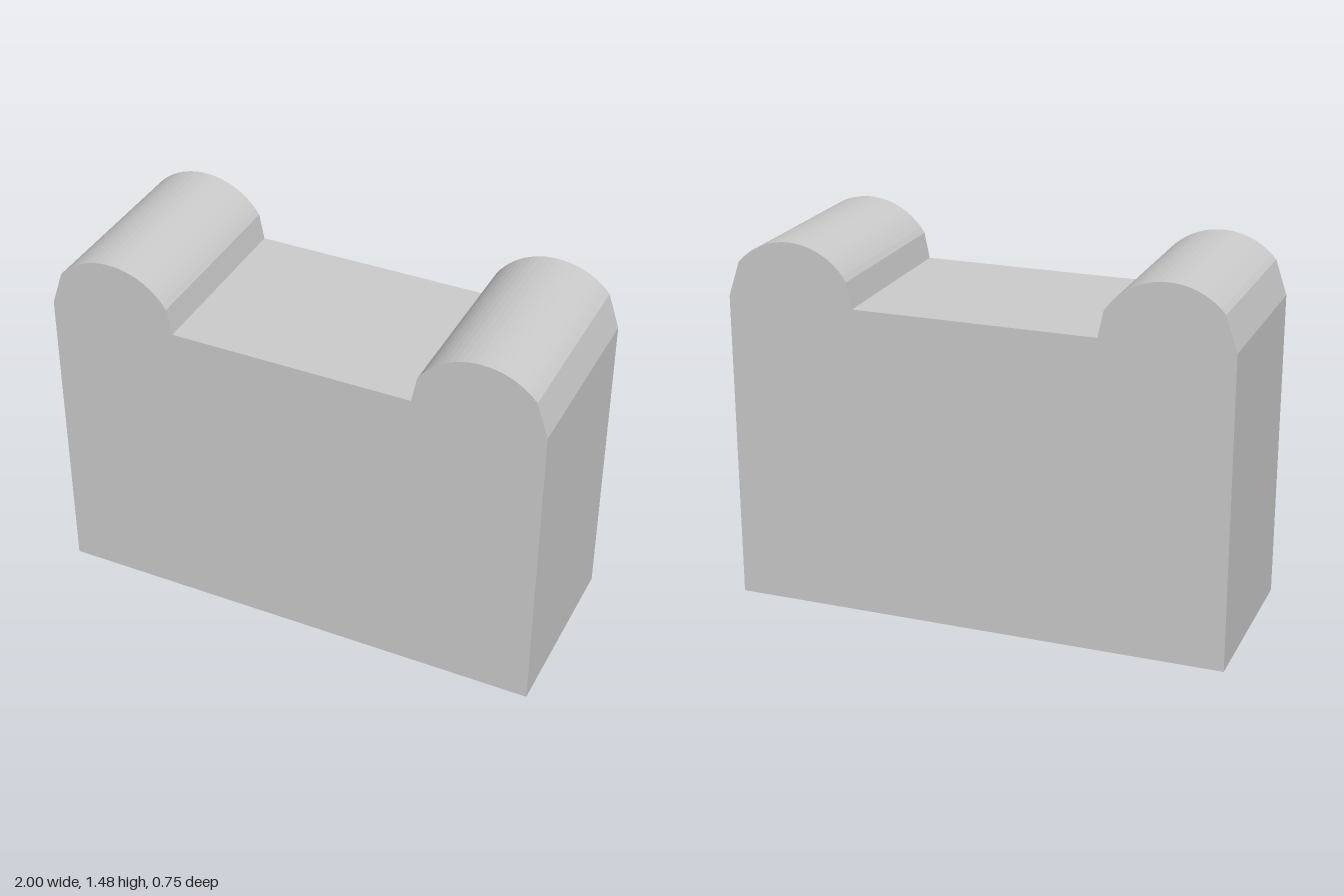
import * as THREE from 'three';

const DEPTH = 0.755;
const SEAT_Y = 1.25;       // height of the flat between the rolls
const ROLL = { x: 0.742, y: 1.205, r: 0.28 };

// Points of the +x roll, from its outer shoulder over the crown to the inner foot
function rollProfile(segments = 20) {
  const start = Math.atan2(0.183, 0.212);
  const end = Math.PI - Math.atan2(0.149, 0.237);
  const points = [new THREE.Vector2(1, SEAT_Y)];
  for (let i = 0; i <= segments; i++) {
    const a = start + (end - start) * i / segments;
    points.push(new THREE.Vector2(ROLL.x + ROLL.r * Math.cos(a), ROLL.y + ROLL.r * Math.sin(a)));
  }
  points.push(new THREE.Vector2(0.484, SEAT_Y));
  return points;
}

export function createModel() {
  const group = new THREE.Group();
  group.name = 'blockWithRolledEnds';

  // One outline: base, left roll, flat top, mirrored right roll
  const left = rollProfile();
  const right = left.map(p => new THREE.Vector2(-p.x, p.y)).reverse();
  const outline = new THREE.Shape([
    new THREE.Vector2(-1, 0), new THREE.Vector2(1, 0), ...left, ...right,
  ]);

  const geometry = new THREE.ExtrudeGeometry(outline, { depth: DEPTH, bevelEnabled: false });
  geometry.translate(0, 0, -DEPTH / 2);

  const body = new THREE.Mesh(geometry, new THREE.MeshStandardMaterial({ color: 0xcccccc, flatShading: true }));
  body.name = 'body';
  group.add(body);
  return group;
}
